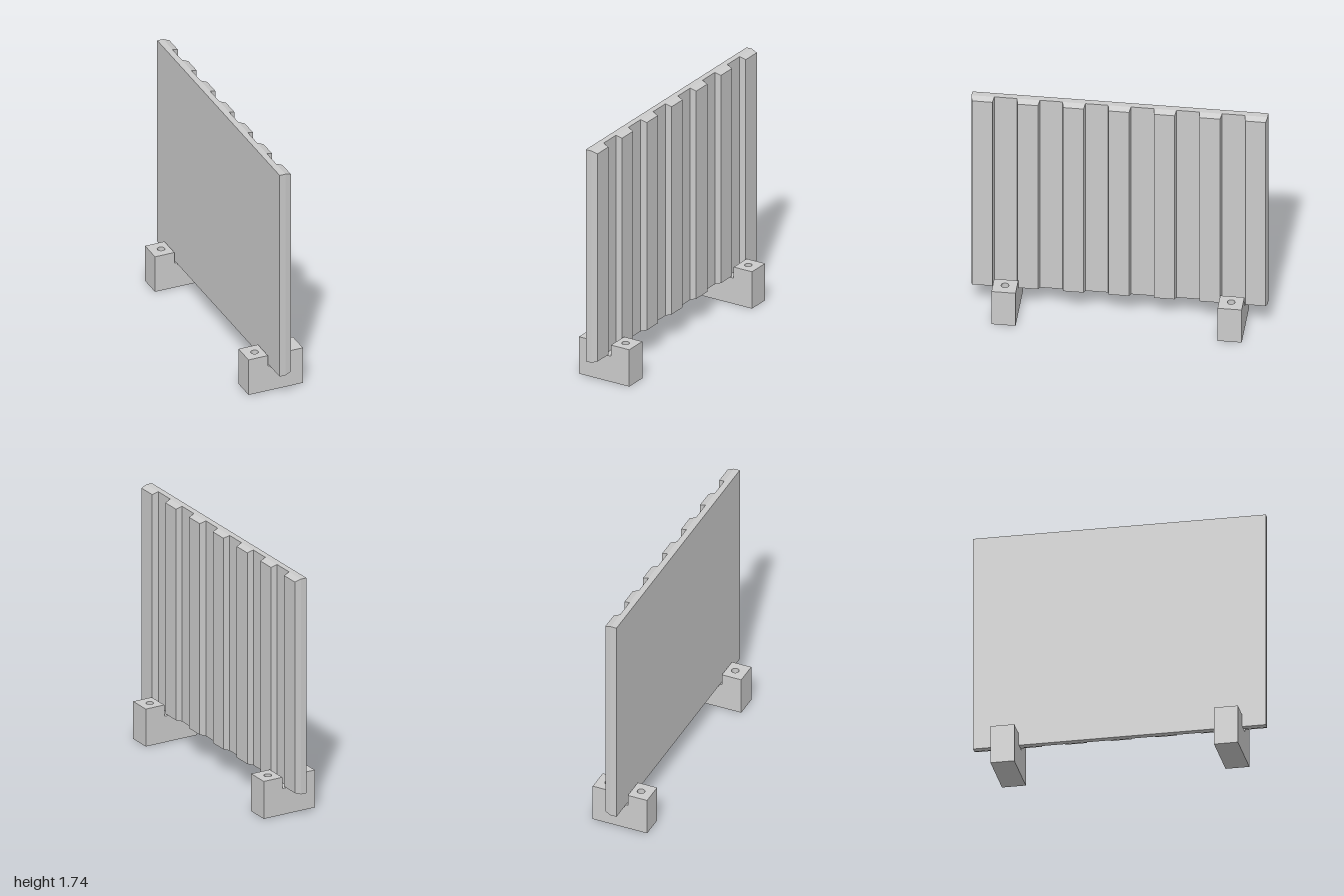
import * as THREE from 'three';
import { mergeGeometries } from 'three/addons/utils/BufferGeometryUtils.js';

const material = new THREE.MeshStandardMaterial({ color: 0xcccccc });
const holeMaterial = new THREE.MeshStandardMaterial({ color: 0xcccccc, side: THREE.BackSide });

const BOTTOM = 0.187, TOP = 1.74, HEIGHT = TOP - BOTTOM, MID = (TOP + BOTTOM) / 2;
const FOOT_WIDTH = 0.163, FOOT_TOP = 0.27, HOLE_X = 0.119, HOLE_R = 0.026, HOLE_DEPTH = 0.2;

function mesh(name, geometry, mat = material) {
  const m = new THREE.Mesh(geometry, mat);
  m.name = name;
  return m;
}

// Raised board: a box whose outer face is drawn in on all four edges
function ribGeometry(width, depth) {
  const g = new THREE.BoxGeometry(depth, HEIGHT, width);
  const p = g.attributes.position;
  for (let i = 0; i < p.count; i++) {
    if (p.getX(i) > 0) {
      p.setY(i, p.getY(i) - Math.sign(p.getY(i)) * 0.015);
      p.setZ(i, p.getZ(i) - Math.sign(p.getZ(i)) * 0.008);
    }
  }
  const flat = g.toNonIndexed();
  flat.computeVertexNormals();
  return flat;
}

// Slotted foot: U profile, one face per profile edge, bolt holes in the two tops
function footGeometry() {
  const profile = [
    [-0.2, 0], [0.2, 0], [0.2, FOOT_TOP], [0.055, FOOT_TOP],
    [0.055, 0.188], [-0.058, 0.188], [-0.058, FOOT_TOP], [-0.2, FOOT_TOP],
  ].map(([x, y]) => new THREE.Vector2(x, y));
  const cap = new THREE.ShapeGeometry(new THREE.Shape(profile));
  const parts = [
    cap.clone().translate(0, 0, FOOT_WIDTH / 2),
    // the profile mirrored by turning it round, then seen from behind
    new THREE.ShapeGeometry(new THREE.Shape(profile.map((v) => new THREE.Vector2(-v.x, v.y))))
      .rotateY(Math.PI).translate(0, 0, -FOOT_WIDTH / 2),
  ];
  profile.forEach((a, i) => {
    const b = profile[(i + 1) % profile.length];
    const d = b.clone().sub(a), l = d.length() / 2, w = FOOT_WIDTH / 2;
    const mid = a.clone().add(b).multiplyScalar(0.5);
    d.normalize();
    const face = new THREE.Shape([[-l, -w], [l, -w], [l, w], [-l, w]].map((c) => new THREE.Vector2(...c)));
    if (a.y === FOOT_TOP && b.y === FOOT_TOP) {
      const offset = mid.x - Math.sign(mid.x) * HOLE_X;
      face.holes.push(new THREE.Path().absarc(offset, 0, HOLE_R, 0, Math.PI * 2, true));
    }
    const place = new THREE.Matrix4().makeBasis(
      new THREE.Vector3(d.x, d.y, 0), new THREE.Vector3(0, 0, 1), new THREE.Vector3(d.y, -d.x, 0));
    place.setPosition(mid.x, mid.y, 0);
    parts.push(new THREE.ShapeGeometry(face, 24).applyMatrix4(place));
  });
  // Hole floors
  for (const s of [-1, 1]) {
    parts.push(new THREE.CircleGeometry(HOLE_R, 24).rotateX(-Math.PI / 2)
      .translate(s * HOLE_X, FOOT_TOP - HOLE_DEPTH, 0));
  }
  return mergeGeometries(parts);
}

export function createModel() {
  const model = new THREE.Group();
  model.name = 'panelOnFeet';

  // Flat backing panel
  const panel = mesh('panel', new THREE.BoxGeometry(0.043, HEIGHT, 2));
  panel.position.set(-0.0215, MID, 0);
  model.add(panel);

  // Seven boards, with gaps as wide as the boards
  const width = 2 / 13, rib = ribGeometry(width, 0.043);
  for (let i = 0; i < 7; i++) {
    const board = mesh('board', rib);
    board.position.set(0.0215, MID, (i - 3) * width * 2);
    model.add(board);
  }

  // Two slotted feet
  const footBody = footGeometry();
  const holeWall = new THREE.CylinderGeometry(HOLE_R, HOLE_R, HOLE_DEPTH, 24, 1, true);
  for (const z of [-0.768, 0.759]) {
    const foot = new THREE.Group();
    foot.name = 'foot';
    foot.add(mesh('footBody', footBody));
    for (const s of [-1, 1]) {
      const hole = mesh('boltHole', holeWall, holeMaterial);
      hole.position.set(s * HOLE_X, FOOT_TOP - HOLE_DEPTH / 2, 0);
      foot.add(hole);
    }
    foot.position.z = z;
    model.add(foot);
  }
  return model;
}
